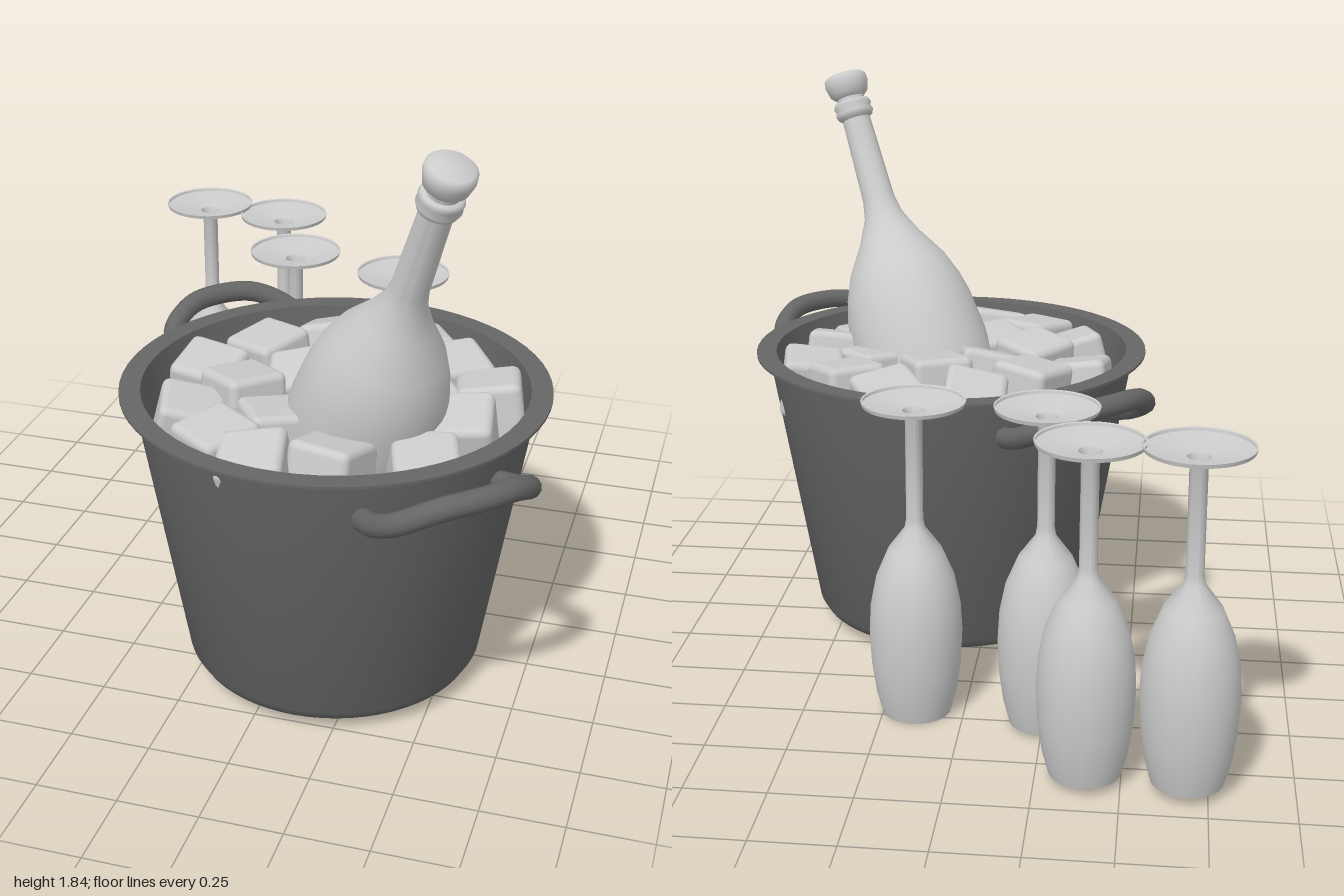
import * as THREE from 'three';
import { RoundedBoxGeometry } from 'three/addons/geometries/RoundedBoxGeometry.js';
import { toCreasedNormals } from 'three/addons/utils/BufferGeometryUtils.js';

const grey = new THREE.MeshStandardMaterial({ color: 0xcccccc, side: THREE.DoubleSide });
const dark = new THREE.MeshStandardMaterial({ color: 0x666666, side: THREE.DoubleSide });

function part(name, geometry, material, parent) {
  const mesh = new THREE.Mesh(geometry, material);
  mesh.name = name;
  parent.add(mesh);
  return mesh;
}

// Turned shape from [radius, height] pairs listed bottom to top on the outside
function lathe(points, segments = 48, crease = 0.6) {
  const geometry = new THREE.LatheGeometry(points.map(([r, y]) => new THREE.Vector2(r, y)), segments);
  return toCreasedNormals(geometry, crease);
}

function seeded(seed) {
  let s = seed;
  return () => (s = (s * 16807) % 2147483647) / 2147483647;
}

// Bucket with a flat lip and two raised loop handles on a diagonal
function makeBucket() {
  const bucket = new THREE.Group();
  bucket.name = 'iceBucket';
  part('bucketShell', lathe([
    [0, 0.035], [0.42, 0.035], [0.445, 0.047], [0.465, 0.08], [0.613, 0.945],
    [0.655, 0.95], [0.655, 0.958], [0.59, 0.958], [0.445, 0.09], [0, 0.09],
  ], 64), dark, bucket);

  // u points outwards, v runs along the wall
  const half = [[0.56, 0.225, 0.825], [0.63, 0.232, 0.845], [0.72, 0.215, 0.89], [0.785, 0.12, 0.94]];
  const path = [
    ...half,
    [0.805, 0, 0.95],
    ...half.slice().reverse().map(([u, v, y]) => [u, -v, y]),
  ].map(([u, v, y]) => new THREE.Vector3(u, y, v));
  const handleGeometry = new THREE.TubeGeometry(new THREE.CatmullRomCurve3(path), 40, 0.034, 12);
  [-Math.PI / 4, Math.PI * 0.75].forEach((angle, i) => {
    part(i ? 'backHandle' : 'frontHandle', handleGeometry, dark, bucket).rotation.y = angle;
  });
  bucket.position.set(0.135, 0, 0.335);
  return bucket;
}

// Leaning bottle, its local origin at the foot of the neck
function makeBottle() {
  const bottle = new THREE.Group();
  bottle.name = 'bottle';
  part('bottleBody', lathe([
    [0, -0.95], [0.21, -0.95], [0.232, -0.92], [0.235, -0.48], [0.218, -0.34], [0.2, -0.27],
    [0.168, -0.19], [0.105, -0.09], [0.066, -0.01], [0.055, 0.05], [0.048, 0.35], [0.048, 0.42], [0, 0.42],
  ], 40, 0.7), grey, bottle);
  part('neckCollar', lathe([
    [0.046, 0.335], [0.06, 0.345], [0.066, 0.36], [0.06, 0.375], [0.066, 0.385], [0.06, 0.4], [0.046, 0.402],
  ], 32, 1.2), grey, bottle);
  part('cork', lathe([
    [0, 0.41], [0.045, 0.41], [0.066, 0.43], [0.075, 0.465], [0.073, 0.487], [0.064, 0.495], [0, 0.495],
  ], 32, 0.8), grey, bottle);
  bottle.position.set(0.405, 1.36, 0.575);
  bottle.quaternion.setFromUnitVectors(
    new THREE.Vector3(0, 1, 0), new THREE.Vector3(0.305, 0.905, 0.295).normalize());
  return bottle;
}

// Visible ice on top, with rings of cubes beneath to hold up the heap
function makeIce() {
  const ice = new THREE.Group();
  ice.name = 'iceCubes';
  const geometry = new RoundedBoxGeometry(0.2, 0.2, 0.2, 2, 0.025);
  const random = seeded(7);
  const cube = (x, y, z, yaw, tilt) => {
    const mesh = part('iceCube', geometry, grey, ice);
    mesh.position.set(x, y, z);
    mesh.rotation.set((random() - 0.5) * tilt, yaw, (random() - 0.5) * tilt, 'YXZ');
  };
  // x, y, z, yaw
  [
    [0.02, 0.87, -0.08, 0.03], [0.28, 0.87, -0.085, 0.5], [0.44, 0.87, 0.05, 0.6], [0.585, 0.86, 0.18, 0.2],
    [0.154, 0.89, 0.095, 0.45], [-0.154, 0.88, 0.085, -0.5], [-0.31, 0.85, 0.235, -0.1],
    [-0.143, 0.88, 0.387, -0.7], [-0.27, 0.85, 0.536, 0.3], [-0.12, 0.86, 0.69, -0.6],
    [0.03, 0.86, 0.79, 0.2], [0.23, 0.86, 0.72, -0.25], [0.545, 0.87, 0.414, 0.15],
    [0.377, 0.86, 0.255, 0.7], [0.01, 0.87, 0.235, 0.25], [0.01, 0.86, 0.55, 0.6], [0.477, 0.84, 0.626, 0.3],
  ].forEach(([x, y, z, yaw]) => cube(x, y, z, yaw, 0.55));
  [[5, 0.2], [11, 0.41]].forEach(([count, radius]) => {
    for (let i = 0; i < count; i++) {
      const a = (i / count) * Math.PI * 2;
      cube(0.135 + radius * Math.cos(a), 0.7, 0.335 + radius * Math.sin(a), random() * 3, 0.8);
    }
  });
  return ice;
}

// Hollow flute standing upside down, foot in the air
function makeFlutes() {
  const flutes = new THREE.Group();
  flutes.name = 'flutes';
  const geometry = lathe([
    [0.106, 0], [0.125, 0.07], [0.138, 0.165], [0.143, 0.27], [0.138, 0.36], [0.12, 0.45], [0.082, 0.54],
    [0.031, 0.61], [0.026, 0.64], [0.026, 0.965], [0.034, 0.982], [0.154, 1.002], [0.157, 1.014], [0.152, 1.012],
  ], 40, 0.9);
  [
    [-0.69, 0.03, -0.843], [-0.395, 0.025, -0.817], [-0.253, 0.015, -0.504], [0.149, 0, -0.446],
  ].forEach(([x, y, z]) => part('flute', geometry, grey, flutes).position.set(x, y, z));
  return flutes;
}

export function createModel() {
  const model = new THREE.Group();
  model.name = 'bottleOnIce';
  model.add(makeBucket(), makeBottle(), makeIce(), makeFlutes());
  return model;
}
